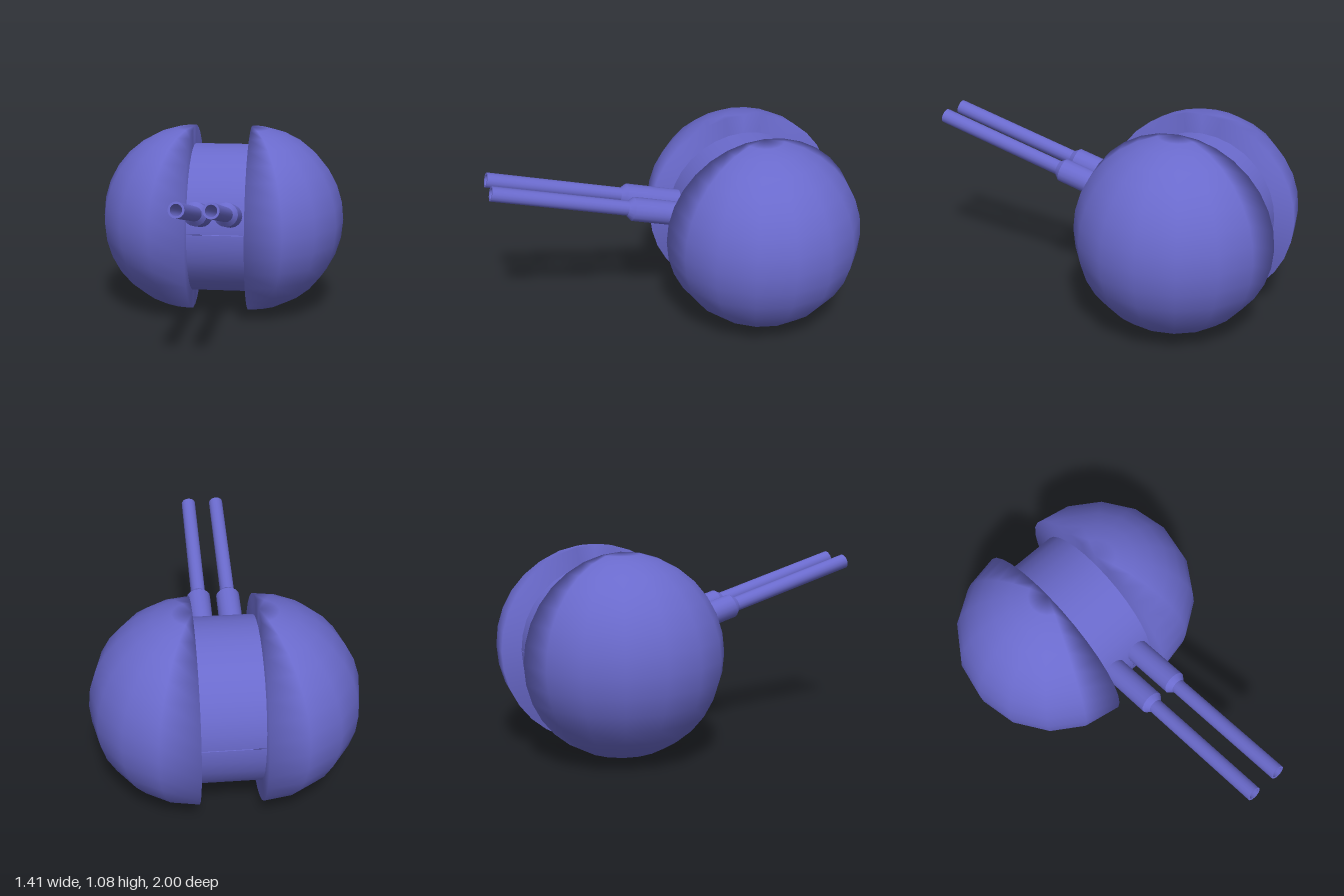
import * as THREE from 'three';
import { mergeGeometries, mergeVertices, toCreasedNormals } from 'three/addons/utils/BufferGeometryUtils.js';

const RADIUS = 0.54;      // side domes
const HALF_GAP = 0.165;   // half the slot between the domes
const DRUM_RADIUS = 0.43;
const PITCH = THREE.MathUtils.degToRad(15);

// Closed hemisphere bulging toward +x, shaded smoothly over its rim
function domeGeometry() {
  const shell = new THREE.SphereGeometry(RADIUS, 8, 16, Math.PI / 2, Math.PI);
  const cap = new THREE.CircleGeometry(RADIUS, 32).rotateY(-Math.PI / 2);
  for (const g of [shell, cap]) {
    g.deleteAttribute('normal');
    g.deleteAttribute('uv');
  }
  const dome = mergeVertices(mergeGeometries([shell, cap]), 1e-4);
  dome.computeVertexNormals();
  return dome;
}

// Sleeve, taper and hollow barrel in one turned profile
function gunGeometry() {
  const profile = [
    [0, -0.36], [0.065, -0.36], [0.065, 0], [0.04, 0.03],
    [0.04, 0.771], [0.029, 0.771], [0.029, 0.04], [0, 0.04],
  ].map(([r, y]) => new THREE.Vector2(r, y));
  return toCreasedNormals(new THREE.LatheGeometry(profile, 16), 0.6);
}

export function createModel() {
  const model = new THREE.Group();
  model.name = 'twinGunTurret';
  const paint = new THREE.MeshStandardMaterial({ color: 0x6a6acc });
  paint.name = 'violet blue';
  const drumPaint = new THREE.MeshStandardMaterial({ color: 0x6a6acc, side: THREE.DoubleSide });
  drumPaint.name = 'violet blue shell';

  const body = new THREE.Group();
  body.name = 'body';
  body.position.set(0, RADIUS, -0.46);
  model.add(body);

  const domeShape = domeGeometry();
  const gunShape = gunGeometry();
  for (const [side, sign] of [['left', 1], ['right', -1]]) {
    // Side domes
    const dome = new THREE.Mesh(domeShape, paint);
    dome.name = side + 'Dome';
    dome.position.x = sign * HALF_GAP;
    if (sign < 0) dome.rotation.y = Math.PI;
    body.add(dome);

    // Guns, raised toward the muzzle
    const gun = new THREE.Mesh(gunShape, paint);
    gun.name = side + 'Gun';
    gun.position.set(sign * 0.082, 0.727, 0.245);
    gun.rotation.x = Math.PI / 2 - PITCH;
    model.add(gun);
  }

  // Central drum: two half shells with a fine seam
  for (const [name, start, sign] of [['upperDrum', 0, 1], ['lowerDrum', Math.PI, -1]]) {
    const shell = new THREE.CylinderGeometry(
      DRUM_RADIUS, DRUM_RADIUS, HALF_GAP * 2, 16, 1, true, start, Math.PI);
    const drum = new THREE.Mesh(shell.rotateZ(Math.PI / 2), drumPaint);
    drum.name = name;
    drum.position.y = sign * 0.002;
    body.add(drum);
  }
  return model;
}
